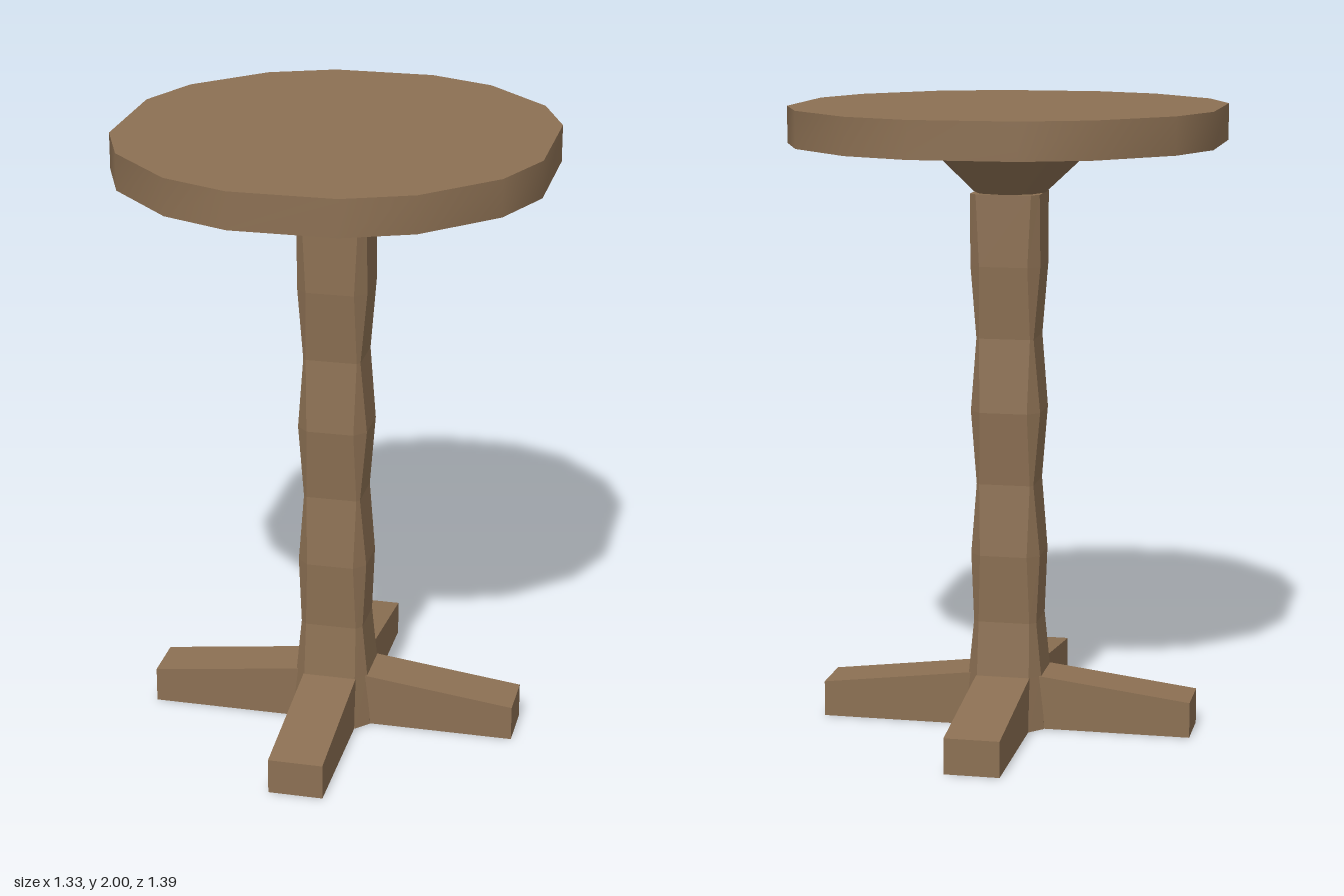
import * as THREE from 'three';

// Solid through rings of [x, z] points at rising heights, with flat end caps.
function loft(rings, smooth) {
  const pos = [], index = [];
  const n = rings[0].pts.length;
  const add = (r) => r.pts.forEach(([x, z]) => pos.push(x, r.y, z));
  rings.forEach(add);
  for (let k = 0; k < rings.length - 1; k++) {
    for (let i = 0; i < n; i++) {
      const j = (i + 1) % n;
      const a = k * n + i, b = k * n + j, c = a + n, d = b + n;
      index.push(a, c, b, b, c, d);
    }
  }
  // caps have their own corners so their rims stay sharp
  const low = rings.length * n, high = low + n;
  add(rings[0]);
  add(rings[rings.length - 1]);
  for (let i = 1; i < n - 1; i++) {
    index.push(low, low + i, low + i + 1);
    index.push(high, high + i + 1, high + i);
  }
  let g = new THREE.BufferGeometry();
  g.setAttribute('position', new THREE.Float32BufferAttribute(pos, 3));
  g.setIndex(index);
  if (!smooth) g = g.toNonIndexed();
  g.computeVertexNormals();
  return g;
}

// Mirrors the corners of one quadrant, given from the x axis to the z axis.
function mirrorQuadrant(q) {
  const r = [...q].reverse();
  return [
    ...q,
    ...r.map(([x, z]) => [-x, z]),
    ...q.map(([x, z]) => [-x, -z]),
    ...r.map(([x, z]) => [x, -z]),
  ];
}

export function createModel() {
  const group = new THREE.Group();
  const wood = new THREE.MeshStandardMaterial({ color: 0x8c7053 });
  wood.name = 'brown wood';

  const part = (name, geometry) => {
    const mesh = new THREE.Mesh(geometry, wood);
    mesh.name = name;
    group.add(mesh);
    return mesh;
  };

  // sixteen-sided table top
  const rim = mirrorQuadrant([[0.665, 0.195], [0.58, 0.403], [0.372, 0.61], [0.163, 0.695]]);
  part('tableTop', loft([{ y: 1.885, pts: rim }, { y: 2, pts: rim }], true));

  // flared support under the top
  const octagon = (rx, rz) => Array.from({ length: 8 }, (_, i) => {
    const a = i * Math.PI / 4;
    return [rx * Math.cos(a), rz * Math.sin(a)];
  });
  part('flaredSupport', loft([
    { y: 1.727, pts: octagon(0.115, 0.105) },
    { y: 1.886, pts: octagon(0.285, 0.257) },
  ], true));

  // turned column with narrow chamfers: height, half width, half depth, flat half width, flat half depth
  const column = [
    [0, 0.131, 0.129, 0.09, 0.085],
    [0.175, 0.119, 0.112, 0.085, 0.076],
    [0.35, 0.102, 0.093, 0.083, 0.073],
    [0.57, 0.112, 0.103, 0.076, 0.067],
    [0.8, 0.092, 0.084, 0.082, 0.074],
    [1.035, 0.112, 0.103, 0.076, 0.067],
    [1.27, 0.092, 0.084, 0.082, 0.074],
    [1.5, 0.112, 0.103, 0.077, 0.068],
    [1.727, 0.111, 0.101, 0.088, 0.077],
  ];
  part('column', loft(column.map(([y, a, b, cx, cz]) => (
    { y, pts: mirrorQuadrant([[a, cz], [cx, b]]) }
  )), false));

  // four sloping feet in a cross
  const makeFoot = (length, width) => {
    const s = new THREE.Shape();
    s.moveTo(0, 0);
    s.lineTo(length, 0);
    s.lineTo(length, 0.115);
    s.lineTo(0.115, 0.175);
    s.lineTo(0, 0.175);
    const g = new THREE.ExtrudeGeometry(s, { depth: width, bevelEnabled: false });
    return g.translate(0, 0, -width / 2);
  };
  const sideFoot = makeFoot(0.602, 0.165);
  const frontFoot = makeFoot(0.586, 0.175);
  ['leftFoot', 'backFoot', 'rightFoot', 'frontFoot'].forEach((name, i) => {
    part(name, i % 2 ? frontFoot : sideFoot).rotation.y = i * Math.PI / 2;
  });

  return group;
}
